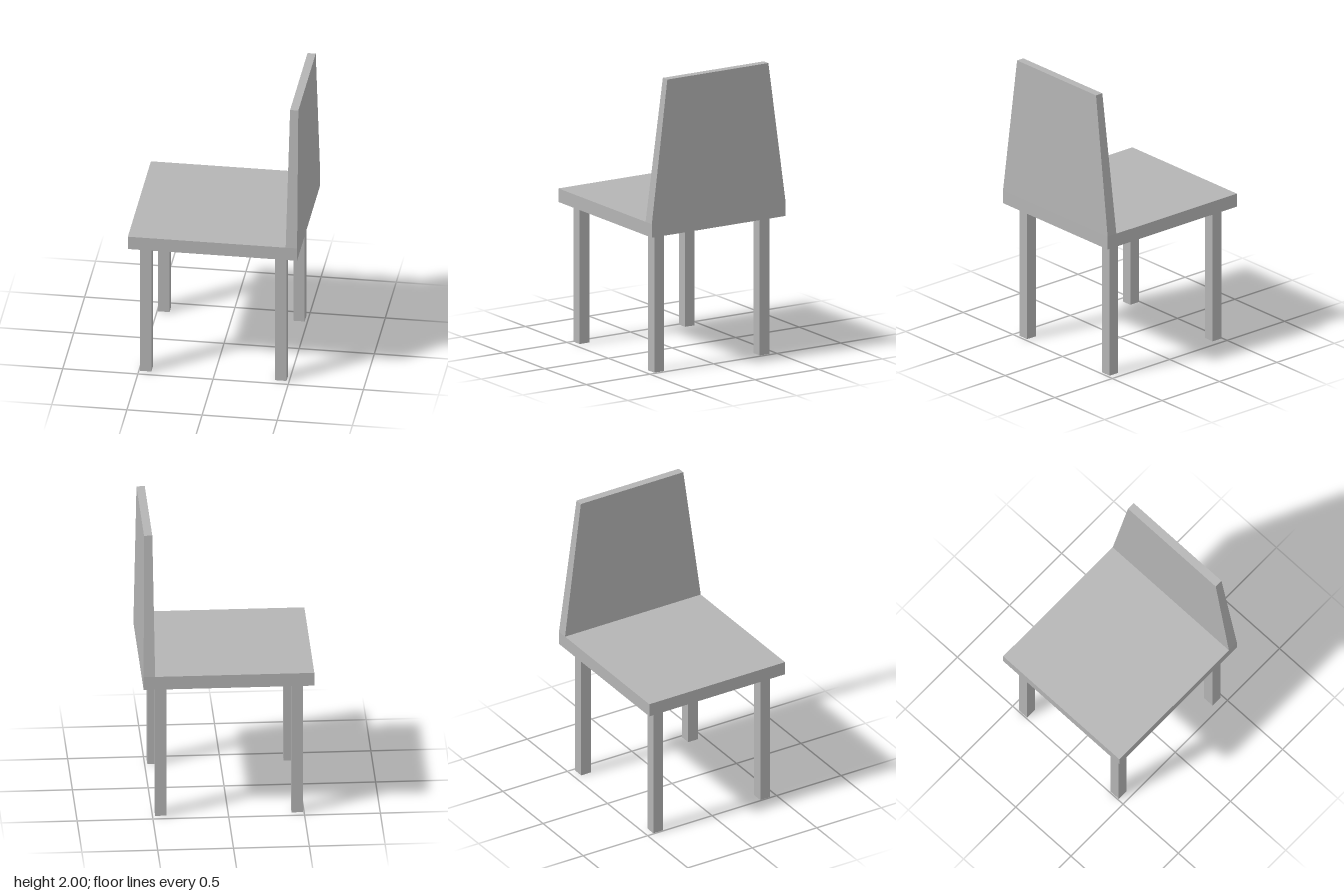
import * as THREE from 'three';

export function createModel() {
  const model = new THREE.Group();
  model.name = 'chair';
  const grey = new THREE.MeshStandardMaterial({ color: 0xb4b4b4 });
  grey.name = 'plain grey';

  // Box given by its size and the centre of its underside
  function addBox(name, w, h, d, x, y, z) {
    const geometry = new THREE.BoxGeometry(w, h, d).translate(0, h / 2, 0);
    const mesh = new THREE.Mesh(geometry, grey);
    mesh.name = name;
    mesh.position.set(x, y, z);
    model.add(mesh);
    return mesh;
  }

  // Seat slab
  const seatBottom = 0.945, seatTop = 1.037;
  addBox('seat', 1.126, seatTop - seatBottom, 1.052, 0, seatBottom, 0);

  // Backrest, narrowing towards the top in width and thickness
  const backHeight = 2 - seatTop;
  const back = addBox('backrest', 0.076, backHeight, 1.052, 0.525, seatTop, 0);
  const pos = back.geometry.attributes.position;
  for (let i = 0; i < pos.count; i++) {
    if (pos.getY(i) > backHeight / 2) {
      pos.setX(i, pos.getX(i) * 0.72);
      pos.setZ(i, pos.getZ(i) * 0.755);
    }
  }
  back.geometry.computeVertexNormals();

  // Four square legs
  for (const [side, x] of [['right', -0.455], ['left', 0.444]]) {
    for (const [end, z] of [['Front', 0.416], ['Back', -0.413]]) {
      addBox(side + end + 'Leg', 0.076, seatBottom, 0.076, x, 0, z);
    }
  }

  return model;
}
